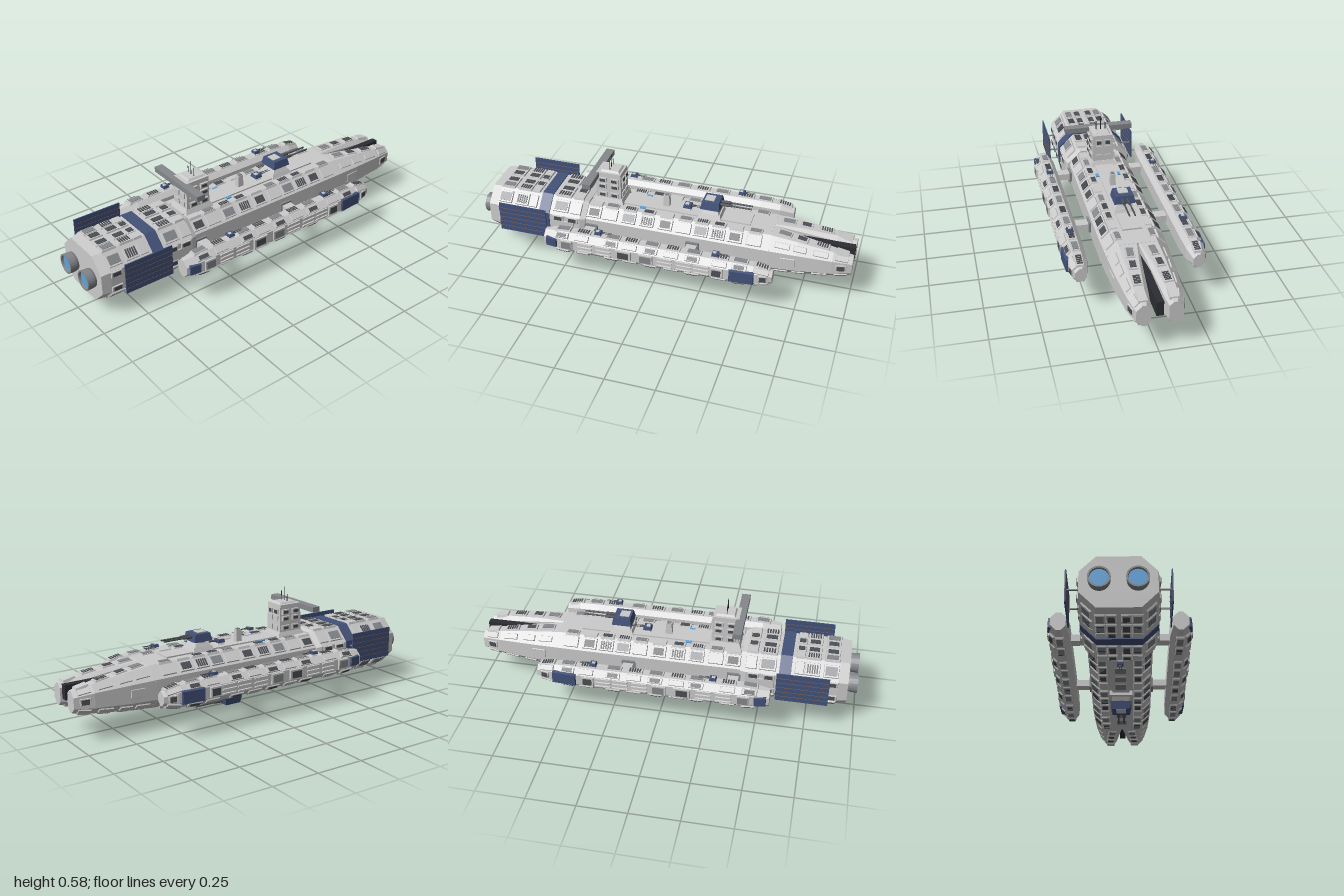
import * as THREE from 'three';

const mat = (color) => new THREE.MeshStandardMaterial({ color, flatShading: true });
const GREY = mat(0xcccccc), MID = mat(0x85888c), DARK = mat(0x4c4f54), BLACK = mat(0x2c2e33);
const NAVY = mat(0x43527a), GLOW = mat(0x5aa5e0), COPPER = mat(0x8c6a50);

function add(parent, name, geo, material, x = 0, y = 0, z = 0) {
  const m = new THREE.Mesh(geo, material);
  m.name = name;
  m.position.set(x, y, z);
  parent.add(m);
  return m;
}
const box = (p, name, material, w, h, l, x, y, z) => add(p, name, new THREE.BoxGeometry(w, h, l), material, x, y, z);
const rodZ = (r, l, n = 8) => new THREE.CylinderGeometry(r, r, l, n).rotateX(Math.PI / 2);

// Box whose top is drawn in by a bevel
function bevelBox(w, h, l, b) {
  const g = new THREE.BoxGeometry(w, h, l), p = g.attributes.position;
  for (let i = 0; i < p.count; i++) if (p.getY(i) > 0) {
    p.setX(i, p.getX(i) - Math.sign(p.getX(i)) * b);
    p.setZ(i, p.getZ(i) - Math.sign(p.getZ(i)) * b);
  }
  g.computeVertexNormals();
  return g;
}

// Section: [z, x0, x1, y0, y1, chamfer at x0, chamfer at x1]
const ring = ([z, x0, x1, y0, y1, c0, c1]) => [
  [x1, y0 + c1], [x1, y1 - c1], [x1 - c1, y1], [x0 + c0, y1],
  [x0, y1 - c0], [x0, y0 + c0], [x0 + c0, y0], [x1 - c1, y0],
].map(([x, y]) => new THREE.Vector3(x, y, z));
const mirror = (secs) => secs.map(([z, x0, x1, y0, y1, c0, c1]) => [z, -x1, -x0, y0, y1, c1, c0]);
const sym = (z, hx, y0, y1, c) => [z, -hx, hx, y0, y1, c, c];

// Eight-sided hull skinned over its sections, closed at both ends
function loft(secs) {
  const rings = secs.map(ring), v = [];
  const tri = (...pts) => pts.forEach((p) => v.push(p.x, p.y, p.z));
  for (let i = 0; i + 1 < rings.length; i++) for (let k = 0; k < 8; k++) {
    const a = rings[i][k], b = rings[i][(k + 1) % 8], c = rings[i + 1][(k + 1) % 8], d = rings[i + 1][k];
    tri(a, b, c); tri(a, c, d);
  }
  const first = rings[0], last = rings[rings.length - 1];
  for (let k = 1; k < 7; k++) { tri(first[0], first[k + 1], first[k]); tri(last[0], last[k], last[k + 1]); }
  const g = new THREE.BufferGeometry();
  g.setAttribute('position', new THREE.Float32BufferAttribute(v, 3));
  g.computeVertexNormals();
  return g;
}

function ringAt(secs, z) {
  let i = 0;
  while (i < secs.length - 2 && z > secs[i + 1][0]) i++;
  const t = (z - secs[i][0]) / (secs[i + 1][0] - secs[i][0]);
  return ring(secs[i].map((a, j) => a + (secs[i + 1][j] - a) * t));
}

// Raised panel lying on hull face k (0 +x side, 2 top, 4 -x side, 6 bottom, odd = chamfers)
function panel(p, secs, k, t, z, w, l, kind = 'plate', h = 0.008) {
  const at = (zz) => { const r = ringAt(secs, zz); return r[k].clone().lerp(r[(k + 1) % 8], t); };
  const r = ringAt(secs, z), Z = at(z + l / 2).sub(at(z - l / 2)).normalize();
  const X = r[k].clone().sub(r[(k + 1) % 8]).normalize();
  const Y = Z.clone().cross(X).normalize();
  X.copy(Y).cross(Z);
  const g = new THREE.Group();
  g.name = 'hullPanel';
  g.quaternion.setFromRotationMatrix(new THREE.Matrix4().makeBasis(X, Y, Z));
  g.position.copy(at(z));
  p.add(g);
  add(g, 'plate', bevelBox(w, h * 2, l, 0.004), kind === 'navy' ? NAVY : GREY);
  if (kind === 'window') box(g, 'inset', DARK, w * 0.6, 0.003, l * 0.65, 0, h + 0.001, 0);
  if (kind === 'hatch') box(g, 'inset', MID, w * 0.65, 0.003, l * 0.75, 0, h + 0.001, 0);
  if (kind === 'louver') for (let i = -2; i <= 2; i++)
    box(g, 'slat', DARK, w * 0.65, 0.004, l * 0.09, 0, h + 0.001, i * l * 0.15);
}

function turret(p, name, x, y, z, s, up) {
  const g = new THREE.Group();
  g.name = name;
  g.position.set(x, y, z);
  g.scale.set(s, s, s);
  if (up < 0) g.rotation.z = Math.PI;
  p.add(g);
  add(g, 'turretBase', bevelBox(0.1, 0.026, 0.1, 0.012), GREY, 0, 0.013, 0);
  add(g, 'turretRing', new THREE.CylinderGeometry(0.038, 0.042, 0.012, 16), MID, 0, 0.03, 0);
  add(g, 'turretHead', bevelBox(0.108, 0.04, 0.105, 0.008), NAVY, 0, 0.053, 0);
  box(g, 'turretHatch', GREY, 0.05, 0.006, 0.05, 0, 0.074, 0.01);
  for (const sx of [-0.014, 0.014]) {
    add(g, 'barrelSleeve', rodZ(0.008, 0.05), DARK, sx, 0.056, -0.07);
    add(g, 'barrel', rodZ(0.0045, 0.17), DARK, sx, 0.056, -0.125);
  }
}

export function createModel() {
  const ship = new THREE.Group();
  ship.name = 'spaceship';

  // Hull sections
  const engine = [sym(0.4, 0.168, 0.09, 0.335, 0.07), sym(0.43, 0.18, 0.08, 0.345, 0.075),
    sym(0.9, 0.18, 0.08, 0.345, 0.075), sym(0.95, 0.175, 0.085, 0.34, 0.075)];
  const middle = [sym(-0.58, 0.155, 0.1, 0.322, 0.06), sym(-0.4, 0.16, 0.098, 0.325, 0.06), sym(0.41, 0.16, 0.098, 0.325, 0.06)];
  const prong = [[-1, 0.042, 0.11, 0.155, 0.265, 0.02, 0.028], [-0.9, 0.03, 0.132, 0.14, 0.285, 0.02, 0.035],
    [-0.72, 0.014, 0.148, 0.115, 0.308, 0.015, 0.05], [-0.57, 0, 0.155, 0.1, 0.322, 0.005, 0.06]];
  const pod = [[-0.635, 0.262, 0.318, 0.18, 0.25, 0.02, 0.02], [-0.56, 0.245, 0.336, 0.162, 0.27, 0.024, 0.028],
    [-0.45, 0.241, 0.342, 0.155, 0.274, 0.024, 0.03], [0.47, 0.241, 0.342, 0.155, 0.274, 0.024, 0.03],
    [0.57, 0.255, 0.33, 0.168, 0.262, 0.024, 0.028]];
  add(ship, 'engineBlock', loft(engine), GREY);
  add(ship, 'middleHull', loft(middle), GREY);
  add(ship, 'engineBand', loft([sym(0.6, 0.184, 0.074, 0.351, 0.076), sym(0.66, 0.184, 0.074, 0.351, 0.076)]), NAVY);
  box(ship, 'bowRail', BLACK, 0.034, 0.075, 0.45, 0, 0.238, -0.775);

  // Engine block plating, on top, bottom and all four chamfers
  for (const k of [1, 2, 3, 5, 6, 7]) {
    const flat = k % 4 === 2;
    for (const t of flat ? [0.1, 0.34, 0.66, 0.9] : [0.5])
      for (const [z, l, kind] of [[0.455, 0.06, 'plate'], [0.54, 0.09, t === 0.5 ? 'hatch' : 'louver'],
        [0.7, 0.05, 'plate'], [0.765, 0.08, 'louver'], [0.86, 0.08, 'hatch']])
        panel(ship, engine, k, t, z, flat ? 0.052 : 0.07, l, t === 0.34 || t === 0.66 ? 'window' : kind);
  }
  for (const k of [0, 4]) {
    for (const t of [0.14, 0.86]) for (const z of [0.47, 0.55, 0.7, 0.78, 0.87])
      panel(ship, engine, k, t, z, 0.035, 0.065, 'window', 0.006);
    panel(ship, engine, k, 0.5, 0.52, 0.06, 0.12, 'plate', 0.005);
  }

  // Middle hull plating
  const kinds = ['plate', 'window', 'louver', 'hatch'];
  [-0.5, -0.4, -0.31, -0.22, -0.13, -0.03, 0.07, 0.17, 0.27, 0.36].forEach((z, i) => {
    for (const k of [1, 3, 5, 7]) panel(ship, middle, k, 0.5, z, 0.062, 0.082, kinds[(i + (k > 4 ? 1 : 0)) % 4]);
    for (const t of [0.06, 0.94]) {
      panel(ship, middle, 2, t, z, 0.04, 0.075, kinds[(i + 3) % 4], 0.006);
      panel(ship, middle, 6, t, z, 0.05, 0.08, kinds[(i + 2) % 4]);
    }
  });
  box(ship, 'upperDeck', GREY, 0.1, 0.01, 0.86, 0, 0.327, -0.03);
  box(ship, 'lowerKeel', GREY, 0.09, 0.016, 0.85, 0, 0.094, -0.03);
  for (const z of [-0.42, -0.32, -0.22, 0.08, 0.18, 0.28]) box(ship, 'keelHatch', MID, 0.055, 0.006, 0.06, 0, 0.085, z);

  for (const s of [1, -1]) {
    const P = s > 0 ? prong : mirror(prong), Q = s > 0 ? pod : mirror(pod);
    const face = (k) => (s > 0 ? k : (12 - k) % 8);

    // Split bow
    add(ship, 'bowProng', loft(P), GREY);
    for (const [z, l, kind] of [[-0.945, 0.07, 'plate'], [-0.84, 0.08, 'louver'], [-0.735, 0.07, 'window'], [-0.645, 0.08, 'hatch']]) {
      for (const k of [2, 6]) panel(ship, P, face(k), 0.5, z, 0.05, l, kind, 0.007);
      for (const k of [1, 7]) panel(ship, P, face(k), 0.5, z, 0.035, l, 'plate', 0.006);
    }
    panel(ship, P, face(0), 0.5, -0.945, 0.042, 0.06, 'window', 0.004);
    panel(ship, P, face(0), 0.5, -0.68, 0.05, 0.08, 'plate', 0.003);

    // Side pod
    add(ship, 'sidePod', loft(Q), GREY);
    [-0.58, -0.47, -0.37, -0.23, -0.12, -0.01, 0.1, 0.2, 0.36, 0.47].forEach((z, i) => {
      for (const k of [2, 6]) panel(ship, Q, face(k), 0.5, z, 0.045, 0.085, i % 2 ? 'hatch' : 'louver', 0.006);
      for (const k of [1, 7]) panel(ship, Q, face(k), 0.5, z, 0.034, 0.08, i % 2 ? 'window' : 'plate', 0.006);
    });
    panel(ship, Q, face(0), 0.5, -0.485, 0.07, 0.13, 'navy', 0.009);
    panel(ship, Q, face(0), 0.5, 0.525, 0.055, 0.065, 'navy', 0.009);
    panel(ship, Q, face(0), 0.5, -0.59, 0.045, 0.05, 'window', 0.005);
    for (const [z, l, kind] of [[0.44, 0.07, 'hatch'], [0.13, 0.09, 'window'], [0.01, 0.08, 'hatch'], [-0.36, 0.07, 'window']])
      panel(ship, Q, face(0), 0.5, z, 0.06, l, kind, 0.008);
    for (const z of [0.34, 0.24, -0.09, -0.19, -0.28]) for (const t of [0.12, 0.5, 0.88])
      panel(ship, Q, face(0), t, z, 0.014, 0.085, 'plate', 0.006);
    for (const z of [-0.34, 0.28]) turret(ship, 'podTurret', s * 0.29, 0.274, z, 0.34, 1);

    // Pod struts
    for (const z of [-0.185, 0.37]) {
      box(ship, 'podStrut', GREY, 0.1, 0.035, 0.055, s * 0.2, 0.212, z);
      box(ship, 'strutCollar', MID, 0.014, 0.055, 0.07, s * 0.164, 0.212, z);
    }

    // Solar panel with its two arms
    box(ship, 'solarPanel', NAVY, 0.006, 0.165, 0.265, s * 0.241, 0.248, 0.725);
    for (let i = 1; i < 6; i++) box(ship, 'panelLine', COPPER, 0.0075, 0.002, 0.26, s * 0.241, 0.165 + i * 0.0275, 0.725);
    for (const z of [0.63, 0.815]) box(ship, 'panelArm', MID, 0.065, 0.006, 0.008, s * 0.21, 0.247, z);

    // Main engine nozzle, open at the rear with a glowing core
    const nozzle = [[0.046, 0], [0.05, 0.012], [0.052, 0.05], [0.044, 0.05], [0.042, 0.03]].map(([r, y]) => new THREE.Vector2(r, y));
    const shell = add(ship, 'engineNozzle', new THREE.LatheGeometry(nozzle, 24).rotateX(Math.PI / 2), MID.clone(), s * 0.085, 0.212, 0.949);
    shell.material.side = THREE.DoubleSide;
    add(ship, 'engineGlow', rodZ(0.043, 0.04, 24), GLOW, s * 0.085, 0.212, 0.967);
  }

  // Command tower
  const tower = new THREE.Group();
  tower.name = 'commandTower';
  ship.add(tower);
  add(tower, 'towerBase', bevelBox(0.14, 0.03, 0.17, 0.012), GREY, 0, 0.338, 0.305);
  add(tower, 'towerBody', bevelBox(0.116, 0.175, 0.14, 0.003), GREY, 0, 0.413, 0.305);
  add(tower, 'towerRoof', bevelBox(0.09, 0.014, 0.11, 0.01), GREY, 0, 0.503, 0.3);
  for (const y of [0.375, 0.425, 0.462]) {
    for (const s of [-1, 1]) {
      for (const z of [0.27, 0.335]) {
        box(tower, 'sidePlate', GREY, 0.012, 0.027, 0.045, s * 0.06, y, z);
        box(tower, 'sideWindow', DARK, 0.003, 0.015, 0.03, s * 0.0665, y, z);
      }
      for (const z of [0.233, 0.377]) {
        box(tower, 'endPlate', GREY, 0.034, 0.028, 0.006, s * 0.024, y, z);
        if (y > 0.44) box(tower, 'endWindow', DARK, 0.024, 0.02, 0.008, s * 0.024, y, z);
      }
    }
  }
  box(tower, 'radarMount', MID, 0.05, 0.02, 0.03, 0, 0.486, 0.36);
  box(tower, 'radarBar', MID, 0.374, 0.028, 0.045, 0, 0.486, 0.378);
  for (const [x, top] of [[-0.025, 0.548], [0, 0.584], [0.025, 0.56]])
    add(tower, 'antenna', new THREE.CylinderGeometry(0.0015, 0.002, top - 0.5, 6), BLACK, x, (top + 0.5) / 2, 0.305);

  // Gun turrets above and below
  turret(ship, 'upperTurret', 0, 0.345, -0.245, 1, 1);
  add(ship, 'upperTurretPlinth', bevelBox(0.12, 0.03, 0.13, 0.012), GREY, 0, 0.335, -0.245);
  turret(ship, 'lowerTurret', 0, 0.076, -0.06, 1, -1);
  box(ship, 'lowerTurretPlinth', GREY, 0.12, 0.025, 0.13, 0, 0.084, -0.06);
  turret(ship, 'rearBellyTurret', 0, 0.088, 0.385, 0.3, -1);

  // Deck fittings
  add(ship, 'sensorMast', bevelBox(0.03, 0.065, 0.035, 0.003), GREY, 0, 0.363, 0);
  box(ship, 'mastCap', MID, 0.018, 0.006, 0.02, 0, 0.397, 0);
  turret(ship, 'deckTurret', 0, 0.33, -0.115, 0.42, 1);
  for (const s of [-1, 1]) box(ship, 'deckLight', GLOW, 0.016, 0.006, 0.03, s * 0.058, 0.328, 0.115);
  return ship;
}
